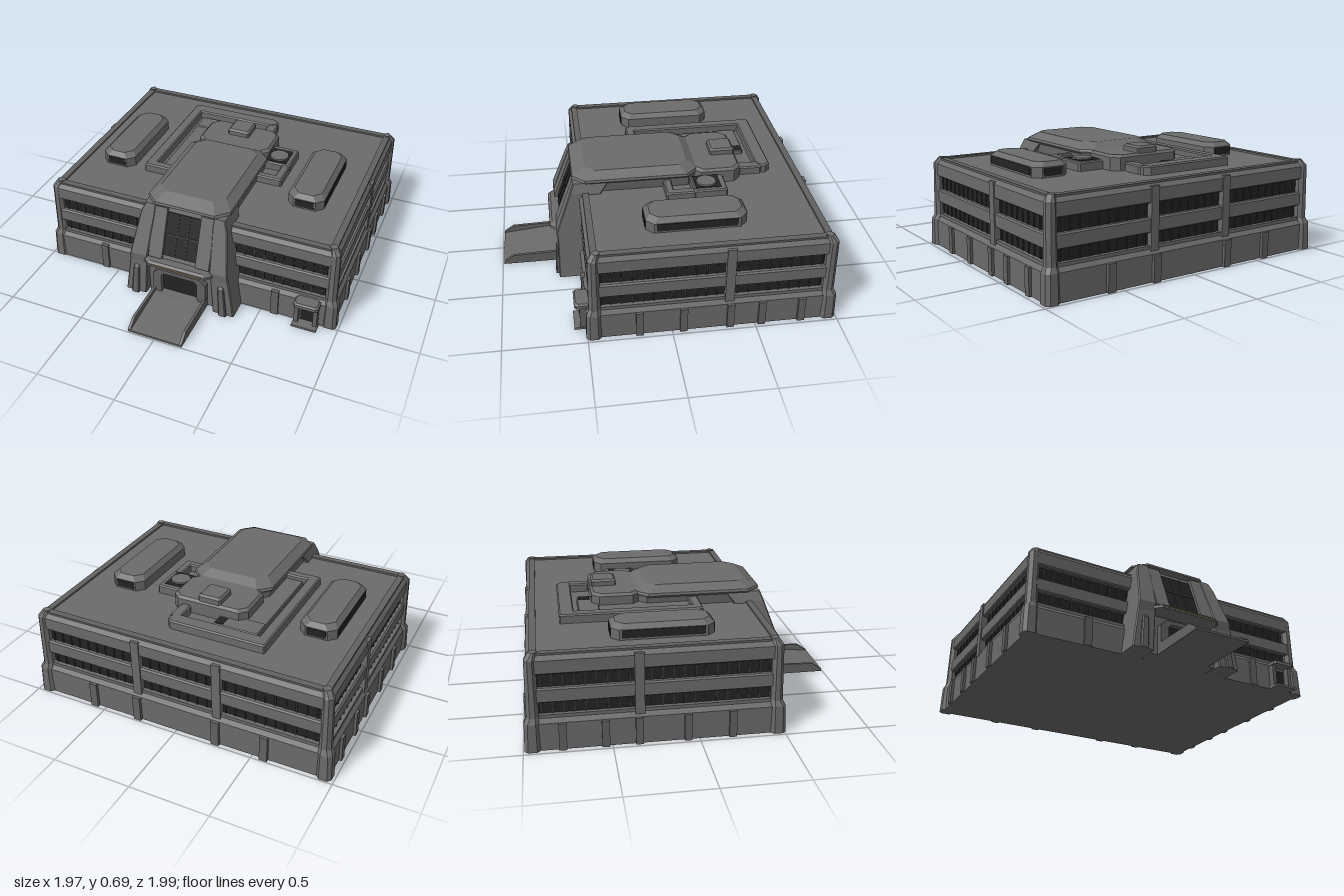
import * as THREE from 'three';

const mat = (name, color) => Object.assign(new THREE.MeshStandardMaterial({ color }), { name });

export function createModel() {
  const model = new THREE.Group();
  const wall = mat('wall grey', 0x6b6b6b);
  const trim = mat('trim grey', 0x626262);
  const glass = mat('dark glass', 0x232323);
  const mullion = mat('mullion grey', 0x353535);
  const accent = mat('ochre accent', 0x8a7040);

  const add = (name, geo, m = wall, parent = model) => {
    const mesh = new THREE.Mesh(geo, m);
    mesh.name = name;
    parent.add(mesh);
    return mesh;
  };
  const box = (name, x0, x1, y0, y1, z0, z1, m = wall) => {
    const g = new THREE.BoxGeometry(Math.abs(x1 - x0), y1 - y0, z1 - z0);
    g.translate((x0 + x1) / 2, (y0 + y1) / 2, (z0 + z1) / 2);
    return add(name, g, m);
  };

  // Stack of chamfered rectangles; each section is [y, x0, x1, z0, z1, chamfer]
  const loft = (sections) => {
    const loops = sections.map(([y, x0, x1, z0, z1, c = 0.004]) => [
      [x1, y, z1 - c], [x1, y, z0 + c], [x1 - c, y, z0], [x0 + c, y, z0],
      [x0, y, z0 + c], [x0, y, z1 - c], [x0 + c, y, z1], [x1 - c, y, z1]]);
    const pos = [];
    const tri = (...p) => p.forEach((v) => pos.push(...v));
    for (let k = 0; k + 1 < loops.length; k++) {
      for (let i = 0; i < 8; i++) {
        const j = (i + 1) % 8, a = loops[k], b = loops[k + 1];
        tri(a[i], a[j], b[j]);
        tri(a[i], b[j], b[i]);
      }
    }
    const lo = loops[0], hi = loops[loops.length - 1];
    for (let i = 1; i < 7; i++) {
      tri(hi[0], hi[i], hi[i + 1]);
      tri(lo[0], lo[i + 1], lo[i]);
    }
    const g = new THREE.BufferGeometry();
    g.setAttribute('position', new THREE.Float32BufferAttribute(pos, 3));
    g.computeVertexNormals();
    return g;
  };
  const block = (name, x0, x1, y0, y1, z0, z1, c, bevel, m = wall) => add(name, loft([
    [y0, x0, x1, z0, z1, c], [y1 - bevel, x0, x1, z0, z1, c],
    [y1, x0 + bevel, x1 - bevel, z0 + bevel, z1 - bevel, c]]), m);

  // Side profile of [z, y] points extruded between two x values
  const profile = (name, pts, x0, x1, m = wall) => {
    const g = new THREE.ExtrudeGeometry(new THREE.Shape(pts.map((p) => new THREE.Vector2(...p))),
      { depth: x1 - x0, bevelEnabled: false });
    g.rotateY(-Math.PI / 2).translate(x1, 0, 0);
    return add(name, g, m);
  };

  // Main body: plinth, recessed window core and projecting floor bands
  const ring = (y, d, c = 0.03) => [y, -0.965 + d, 0.965 - d, -0.965 + d, 0.505 - d, c];
  add('plinth', loft([ring(0, 0), ring(0.165, 0), ring(0.19, 0.02), ring(0.21, 0.02)]));
  add('windowCore', loft([ring(0.2, 0.045), ring(0.46, 0.045)]), glass);
  add('middleBand', loft([ring(0.283, 0.025), ring(0.29, 0.015), ring(0.362, 0.015), ring(0.37, 0.025)]));
  add('upperBand', loft([ring(0.452, 0.025), ring(0.46, 0.015), ring(0.535, 0.015), ring(0.56, 0.035)]));

  // Roof edge rails
  for (const s of [-1, 1]) box('sideParapet', s * 0.93, s * 0.89, 0.55, 0.572, -0.92, 0.46, trim);
  box('rearParapet', -0.9, 0.9, 0.55, 0.572, -0.93, -0.89, trim);
  for (const s of [-1, 1]) box('frontParapet', s * 0.28, s * 0.9, 0.55, 0.572, 0.43, 0.47, trim);

  // Corner posts
  for (const s of [-1, 1]) {
    for (const [z, f] of [[0.515, 1], [-0.985, -1]]) {
      const sec = (y, o, w) => {
        const xs = [s * (0.985 - o), s * (0.985 - w)].sort((a, b) => a - b);
        const zs = [z - f * o, z - f * w].sort((a, b) => a - b);
        return [y, ...xs, ...zs, 0.02];
      };
      add('cornerPost', loft([sec(0, 0, 0.09), sec(0.17, 0.005, 0.09), sec(0.2, 0.02, 0.09),
        sec(0.54, 0.025, 0.09), sec(0.578, 0.05, 0.1)]));
    }
  }

  // Plinth pilasters and upper wall dividers
  for (const s of [-1, 1]) {
    for (const z of [0.2, -0.06, -0.34, -0.53, -0.77]) {
      box('sidePilaster', s * 0.95, s * 0.982, 0, 0.165, z - 0.022, z + 0.022, trim);
    }
    box('sideDivider', s * 0.9, s * 0.957, 0.18, 0.55, -0.36, -0.305);
    for (const x of [0.265, 0.575]) {
      box('rearPilaster', s * x - 0.025, s * x + 0.025, 0, 0.165, -0.985, -0.95, trim);
    }
    box('rearDivider', s * 0.265 - 0.027, s * 0.265 + 0.027, 0.18, 0.55, -0.957, -0.9);
    box('frontPilaster', s * 0.59 - 0.024, s * 0.59 + 0.024, 0, 0.18, 0.48, 0.518, trim);
  }

  // Window mullions along every side
  for (const y of [0.21, 0.37]) {
    for (let i = 0; i < 29; i++) {
      const x = -0.868 + i * 0.062;
      box('rearMullion', x - 0.004, x + 0.004, y, y + 0.083, -0.926, -0.916, mullion);
      if (Math.abs(x) > 0.3) box('frontMullion', x - 0.004, x + 0.004, y, y + 0.083, 0.456, 0.466, mullion);
    }
    for (let i = 0; i < 22; i++) {
      const z = -0.88 + i * 0.062;
      for (const s of [-1, 1]) box('sideMullion', s * 0.916, s * 0.926, y, y + 0.083, z - 0.004, z + 0.004, mullion);
    }
  }

  // Entrance tower core and roof cap
  profile('towerCore', [[0.3, 0], [0.6, 0], [0.6, 0.27], [0.62, 0.3], [0.5, 0.62], [0.3, 0.62]], -0.22, 0.22);
  add('towerCap', loft([[0.54, -0.25, 0.25, -0.25, 0.42, 0.05], [0.62, -0.26, 0.26, -0.26, 0.5, 0.06],
    [0.635, -0.275, 0.275, -0.27, 0.53, 0.075], [0.65, -0.27, 0.27, -0.265, 0.525, 0.075],
    [0.69, -0.215, 0.215, -0.2, 0.445, 0.06]]));

  // Sloped tower window with panes and side jambs
  const slope = new THREE.Group();
  slope.name = 'towerWindow';
  slope.position.set(0, 0.46, 0.562);
  slope.rotation.x = -Math.atan(0.375);
  model.add(slope);
  const plate = (name, w, h, d, x, y, m) =>
    add(name, new THREE.BoxGeometry(w, h, d).translate(x, y, d / 2), m, slope);
  plate('windowGlass', 0.22, 0.28, 0.006, 0, 0, glass);
  for (const x of [-0.036, 0.036]) plate('windowBar', 0.006, 0.28, 0.01, x, 0, mullion);
  plate('windowCrossbar', 0.22, 0.01, 0.01, 0, 0, mullion);
  for (const s of [-1, 1]) plate('windowJamb', 0.09, 0.33, 0.022, s * 0.157, 0, wall);

  // Flared flank buttresses either side of the entrance
  for (const s of [-1, 1]) {
    const sec = (y, a, b, z0, z1) => [y, ...[s * a, s * b].sort((p, q) => p - q), z0, z1, 0.006];
    add('flankButtress', loft([sec(0, 0.23, 0.37, 0.4, 0.645), sec(0.25, 0.212, 0.333, 0.4, 0.64),
      sec(0.31, 0.208, 0.325, 0.4, 0.645), sec(0.57, 0.19, 0.285, 0.35, 0.548),
      sec(0.63, 0.19, 0.262, 0.3, 0.525)]));
    add('buttressFoot', loft([sec(0, 0.275, 0.325, 0.5, 0.665), sec(0.2, 0.265, 0.305, 0.5, 0.655),
      sec(0.225, 0.265, 0.3, 0.5, 0.635)]), trim);
  }

  // Canopy above the doorway
  add('canopy', loft([[0.25, -0.2, 0.2, 0.5, 0.64, 0.04], [0.272, -0.24, 0.24, 0.5, 0.683, 0.05],
    [0.29, -0.24, 0.24, 0.5, 0.683, 0.05], [0.303, -0.225, 0.225, 0.5, 0.668, 0.05]]));
  box('canopyStripe', -0.18, 0.18, 0.281, 0.286, 0.68, 0.685, accent);

  // Door portal
  const frame = (w, y0, y1, c) => [[-w, y0], [w, y0], [w, y1 - c], [w - c, y1], [-w + c, y1], [-w, y1 - c]]
    .map((p) => new THREE.Vector2(...p));
  const portal = new THREE.Shape(frame(0.178, 0, 0.222, 0.04));
  portal.holes.push(new THREE.Path(frame(0.122, 0.04, 0.195, 0.02)));
  add('doorPortal', new THREE.ExtrudeGeometry(portal, { depth: 0.05, bevelEnabled: false }).translate(0, 0, 0.59), trim);
  box('entranceDoor', -0.13, 0.13, 0.03, 0.2, 0.6, 0.606, glass);

  // Entrance ramp with low side rails
  profile('ramp', [[0.55, 0], [1, 0], [1, 0.012], [0.68, 0.045], [0.55, 0.045]], -0.168, 0.168);
  for (const s of [-1, 1]) {
    profile('rampRail', [[0.6, 0], [1, 0], [1, 0.016], [0.935, 0.06], [0.6, 0.07]],
      s * 0.17 - 0.009, s * 0.17 + 0.009, trim);
  }

  // Small service door at the front
  for (const x of [0.74, 0.86]) box('serviceJamb', x - 0.013, x + 0.013, 0, 0.17, 0.49, 0.545, trim);
  block('serviceCanopy', 0.722, 0.88, 0.155, 0.185, 0.48, 0.575, 0.015, 0.01);
  box('serviceStep', 0.722, 0.88, 0, 0.014, 0.49, 0.58);
  box('serviceDoor', 0.76, 0.84, 0.014, 0.14, 0.5, 0.509, glass);

  // Long rooftop units with dark vents
  for (const [x0, x1, s] of [[-0.785, -0.555, -1], [0.512, 0.745, 1]]) {
    block('roofUnit', x0, x1, 0.55, 0.65, -0.47, 0.13, 0.045, 0.028);
    const mid = (x0 + x1) / 2;
    for (const z of [-0.47, 0.13]) box('endVent', mid - 0.06, mid + 0.06, 0.57, 0.617, z - 0.004, z + 0.004, glass);
    const e = s > 0 ? x1 : x0;
    box('sideVent', e - 0.004, e + 0.004, 0.572, 0.62, -0.41, 0.07, glass);
  }

  // Rooftop plant: low wall around a trench, and stepped centre blocks
  block('plantWallLeft', -0.47, -0.4, 0.55, 0.615, -0.75, 0.12, 0.008, 0.008);
  block('plantWallRear', -0.47, 0.17, 0.55, 0.615, -0.75, -0.66, 0.03, 0.008);
  block('plantWallFront', -0.47, -0.24, 0.55, 0.615, 0.06, 0.12, 0.008, 0.008);
  block('plantWallRight', 0.11, 0.18, 0.55, 0.612, -0.7, -0.53, 0.02, 0.008);
  block('plantDeck', -0.37, -0.18, 0.55, 0.585, -0.63, 0.07, 0.01, 0.005);
  block('plantRearDeck', -0.37, -0.08, 0.55, 0.59, -0.63, -0.5, 0.01, 0.005);
  box('plantGrille', -0.14, -0.09, 0.588, 0.594, -0.62, -0.55, glass);
  block('centreBlock', -0.25, 0.25, 0.55, 0.655, -0.54, -0.24, 0.045, 0.015);
  block('centreHatch', -0.08, 0.07, 0.64, 0.695, -0.53, -0.375, 0.01, 0.012);

  // Fan housing beside the tower
  block('fanHousing', 0.24, 0.42, 0.55, 0.615, -0.42, -0.21, 0.01, 0.008);
  box('fanWell', 0.25, 0.39, 0.612, 0.618, -0.385, -0.225, glass);
  add('fanDisc', new THREE.CylinderGeometry(0.06, 0.065, 0.014, 20).translate(0.32, 0.619, -0.3));
  block('fanPipeSide', 0.365, 0.42, 0.55, 0.61, -0.22, 0.04 - 0.08, 0.008, 0.008);
  block('fanPipeFront', 0.24, 0.42, 0.55, 0.61, -0.09, -0.04, 0.008, 0.008);

  // Centre the footprint and put the base on the ground
  const b = new THREE.Box3().setFromObject(model);
  const c = b.getCenter(new THREE.Vector3());
  model.children.forEach((o) => o.position.sub(new THREE.Vector3(c.x, b.min.y, c.z)));
  return model;
}
